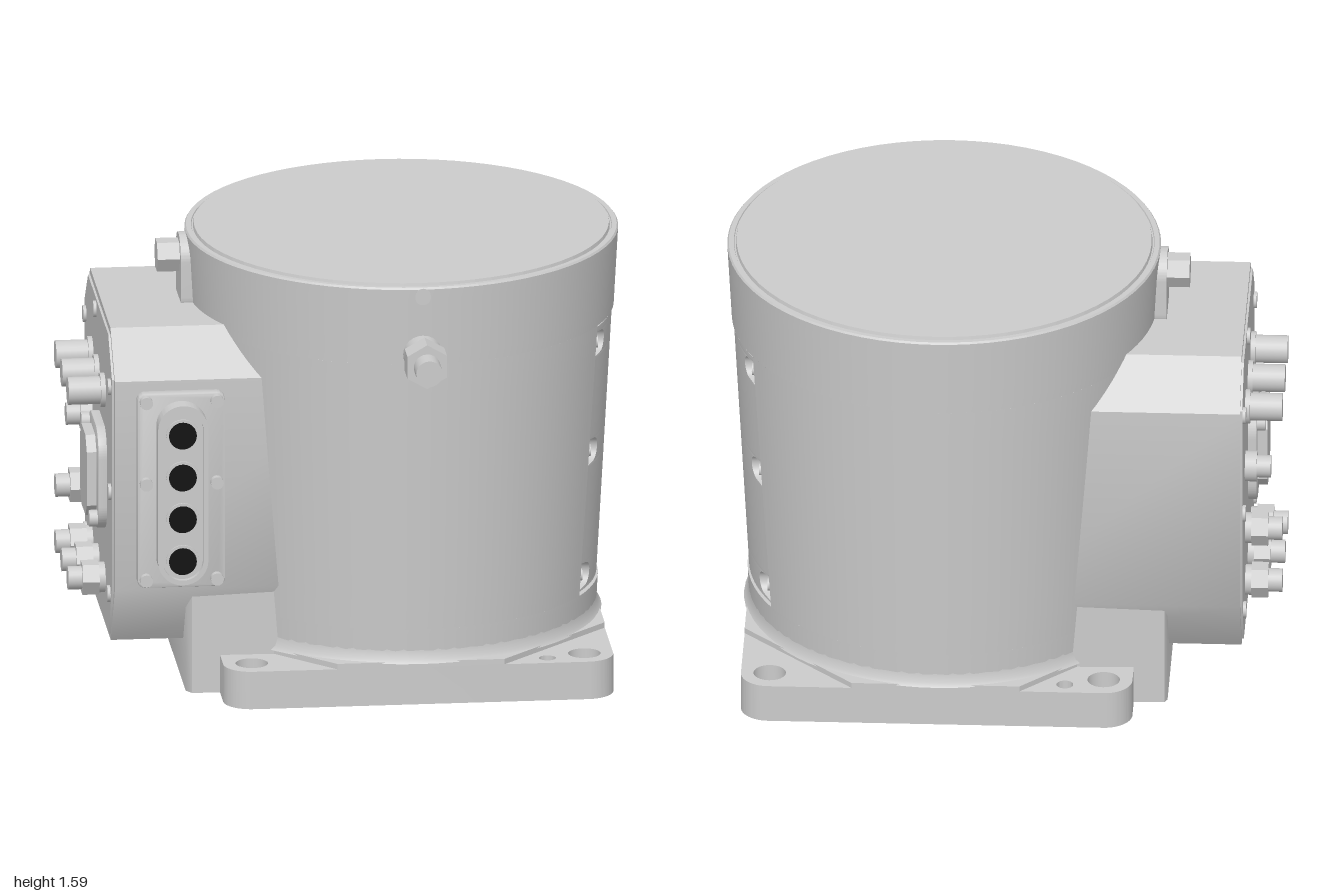
import * as THREE from 'three';
import { toCreasedNormals } from 'three/addons/utils/BufferGeometryUtils.js';

const CX = 0.22, CZ = -0.115;            // axis of the tapered housing
const R = y => 0.695 + 0.056 * (y - 0.15);

const smooth = new THREE.MeshStandardMaterial({ color: 0xcccccc });
const faceted = new THREE.MeshStandardMaterial({ color: 0xcccccc, flatShading: true });
const sheet = new THREE.MeshStandardMaterial({ color: 0xcccccc, side: THREE.DoubleSide });
const black = new THREE.MeshStandardMaterial({ color: 0x111111 });

export function createModel() {
  const model = new THREE.Group();

  function add(name, geo, mat = smooth, pos = [0, 0, 0], parent = model) {
    const m = new THREE.Mesh(geo, mat);
    m.name = name;
    m.position.set(...pos);
    parent.add(m);
    return m;
  }

  function group(name) {
    const g = new THREE.Group();
    g.name = name;
    model.add(g);
    return g;
  }

  // Surface through fn(u, v) -> [x, y, z]
  function grid(name, fn, nu, nv, parent = model) {
    const pos = [], idx = [];
    for (let j = 0; j <= nv; j++) for (let i = 0; i <= nu; i++) pos.push(...fn(i / nu, j / nv));
    for (let j = 0; j < nv; j++) for (let i = 0; i < nu; i++) {
      const a = j * (nu + 1) + i, b = a + nu + 1;
      idx.push(a, b, a + 1, a + 1, b, b + 1);
    }
    const g = new THREE.BufferGeometry();
    g.setAttribute('position', new THREE.Float32BufferAttribute(pos, 3));
    g.setIndex(idx);
    g.computeVertexNormals();
    return add(name, g, sheet, [0, 0, 0], parent);
  }

  // Extrusion along 'y' (shape y = -z), '-x' (shape x = z) or 'z'
  function extrude(name, shape, depth, dir, pos, parent, bevel = 0) {
    const g = new THREE.ExtrudeGeometry(shape, {
      depth: depth - bevel, curveSegments: 16, bevelEnabled: bevel > 0,
      bevelThickness: bevel, bevelSize: bevel, bevelOffset: -bevel, bevelSegments: 2
    });
    if (dir === 'y') g.rotateX(-Math.PI / 2);
    if (dir === '-x') g.rotateY(-Math.PI / 2);
    return add(name, toCreasedNormals(g, 0.6), smooth, pos, parent);
  }

  // Cylinder running from pos along 'y', '-x', 'x' or 'z'
  function rod(name, r, len, dir, pos, parent, seg = 24, mat) {
    const g = new THREE.CylinderGeometry(r, r, len, seg).translate(0, len / 2, 0);
    if (dir === 'z') g.rotateX(Math.PI / 2);
    if (dir === '-x') g.rotateZ(Math.PI / 2);
    if (dir === 'x') g.rotateZ(-Math.PI / 2);
    return add(name, g, mat || (seg <= 8 ? faceted : smooth), pos, parent);
  }

  const poly = pts => new THREE.Shape(pts.map(p => new THREE.Vector2(...p)));

  function roundRect(w, h, r, Type = THREE.Shape) {
    const s = new Type(), x = w / 2, y = h / 2, q = Math.PI / 2;
    s.absarc(x - r, y - r, r, 0, q);
    s.absarc(-x + r, y - r, r, q, 2 * q);
    s.absarc(-x + r, -y + r, r, 2 * q, 3 * q);
    s.absarc(x - r, -y + r, r, 3 * q, 4 * q);
    s.closePath();
    return s;
  }

  // Base plate with mounting holes, and the raised step between the corner pads
  const plate = roundRect(1.4, 1.4, 0.1);
  const hole = (x, y, r) => plate.holes.push(new THREE.Path().absarc(x, y, r, 0, Math.PI * 2));
  for (const sx of [-1, 1]) for (const sy of [-1, 1]) hole(sx * 0.597, sy * 0.597, 0.058);
  hole(-0.46, 0.64, 0.03);
  hole(0.46, -0.64, 0.03);
  extrude('basePlate', plate, 0.14, 'y', [CX, 0, CZ]);
  const e = 0.7, c = 0.3;
  extrude('baseStep', poly([[e, -c], [e, c], [c, e], [-c, e], [-e, c], [-e, -c], [-c, -e], [c, -e]]),
    0.02, 'y', [CX, 0.14, CZ]);
  add('baseFillet', new THREE.LatheGeometry([[0.715, 0.155], [0.704, 0.17], [0.698, 0.2], [0.697, 0.22]]
    .map(p => new THREE.Vector2(...p)), 72), sheet, [CX, 0, CZ]);

  // Tapered housing, left open where the side cover sits
  const P0 = 0.28, P1 = 1.29, HW = 0.36;
  const mix = THREE.MathUtils.lerp;
  const onCone = (t, y) => [CX + R(y) * Math.cos(t), y, CZ + R(y) * Math.sin(t)];
  const housing = group('housing');
  const band = (name, y0, y1, open) => grid(name, (u, v) => {
    const y = mix(y0, y1, v), a = open ? Math.asin(HW / R(y)) : 0;
    return onCone(mix(a, Math.PI * 2 - a, u), y);
  }, 96, 8, housing);
  band('lowerWall', 0.14, P0, false);
  band('middleWall', P0, P1, true);
  band('upperWall', P1, 1.575, false);
  add('topRim', new THREE.LatheGeometry([[0.775, 1.575], [0.77, 1.582], [0.752, 1.582], [0.75, 1.577],
    [0.745, 1.577], [0.742, 1.59], [0, 1.59]].map(p => new THREE.Vector2(...p)), 72)
    .toNonIndexed(), sheet, [CX, 0, CZ], housing).geometry.computeVertexNormals();

  // Flat seat cut into the housing
  const seatX = y => CX + Math.sqrt(R(y) ** 2 - HW ** 2);
  grid('coverSeat', (u, v) => {
    const y = mix(P0, P1, v);
    return [seatX(y), y, CZ + HW * (2 * u - 1)];
  }, 2, 8, housing);
  for (const y of [P0, P1]) grid('seatLedge', (u, v) => {
    const z = HW * (2 * u - 1);
    return [mix(seatX(y), CX + Math.sqrt(R(y) ** 2 - z * z), v), y, CZ + z];
  }, 24, 1, housing);

  // Curved cover with scalloped screw pockets along both edges
  const screwY = [0.345, 0.81, 1.215], pr = 0.045, C0 = 0.291, C1 = 1.28;
  const halfWidth = y => {
    const s = screwY.find(q => Math.abs(q - y) < pr);
    return s === undefined ? 0.346 : 0.31 - Math.sqrt(pr * pr - (y - s) ** 2);
  };
  const coverX = (y, z) => CX + Math.sqrt((R(y) - 0.006) ** 2 - z * z);
  const cover = group('sideCover');
  grid('coverFace', (u, v) => {
    const y = mix(C0, C1, v), z = halfWidth(y) * (2 * u - 1);
    return [coverX(y, z), y, CZ + z];
  }, 24, 160, cover);
  for (const s of [-1, 1]) {
    grid('coverEdge', (u, v) => {
      const y = mix(C0, C1, v), z = s * halfWidth(y);
      return [mix(seatX(y), coverX(y, z), u), y, CZ + z];
    }, 1, 160, cover);
    for (const y of screwY) rod('coverScrew', 0.022, 0.012, 'x', [seatX(y) - 0.002, y, CZ + s * 0.31], cover, 16);
  }
  for (const y of [C0, C1]) grid('coverEnd', (u, v) => {
    const z = halfWidth(y) * (2 * u - 1);
    return [mix(seatX(y), coverX(y, z), v), y, CZ + z];
  }, 24, 1, cover);

  // Connection box on the side, its face plate and its foot
  const box = group('connectionBox');
  const outline = (i, low) => poly([[-0.48, low + i], [0.25, low + i], [0.395 - i, 0.4], [0.395 - i, 1.18],
    [0.24, 1.335 - i], [-0.48, 1.335 - i], [-0.63 + i, 1.18], [-0.63 + i, 0.4]]);
  extrude('boxBody', outline(0, 0.17), 0.86, '-x', [0, 0, 0], box);
  extrude('boxFacePlate', outline(0.025, 0.17), 0.01, '-x', [-0.858, 0, 0], box);
  extrude('boxFoot', poly([[-0.2, 0.62], [-0.59, 0.61], [-0.6, 0.59], [-0.6, -0.34], [-0.58, -0.37], [-0.2, -0.38]].reverse()),
    0.4, 'y', [0, 0, 0], box);
  for (const [z, y] of [[-0.56, 1.14], [-0.2, 1.27], [0.32, 1.14], [-0.57, 0.75], [0.33, 0.75], [-0.53, 0.34], [0.3, 0.36]])
    rod('faceScrew', 0.03, 0.016, '-x', [-0.863, y, z], box, 16);

  // Fittings on the box face
  const fittings = group('fittings');
  for (const z of [-0.34, -0.12, 0.1]) {
    rod('socketCollar', 0.062, 0.025, '-x', [-0.86, 1.06, z], fittings);
    rod('socketBarrel', 0.05, 0.135, '-x', [-0.865, 1.06, z], fittings);
  }
  for (const [z, y] of [[-0.34, 0.57], [-0.34, 0.36], [-0.12, 0.36], [0.1, 0.36]]) {
    rod('fittingCollar', 0.055, 0.03, '-x', [-0.86, y, z], fittings);
    rod('fittingNut', 0.064, 0.06, '-x', [-0.89, y, z], fittings, 6);
    rod('fittingTip', 0.042, 0.05, '-x', [-0.95, y, z], fittings);
  }
  rod('smallFittingBase', 0.055, 0.045, '-x', [-0.865, 0.83, -0.36], fittings);
  rod('smallFittingTip', 0.04, 0.05, '-x', [-0.91, 0.83, -0.36], fittings);

  // Access hatch in the middle of the box face
  const hatch = group('accessHatch');
  extrude('hatchFlange', roundRect(0.36, 0.38, 0.1), 0.035, '-x', [-0.865, 0.74, 0.02], hatch, 0.005);
  extrude('hatchLid', poly([[-0.07, -0.15], [0.07, -0.15], [0.12, -0.1], [0.12, 0.1], [0.07, 0.15], [-0.07, 0.15],
    [-0.12, 0.1], [-0.12, -0.1]]), 0.035, '-x', [-0.9, 0.74, 0.02], hatch);
  for (const s of [-1, 1]) rod('hatchScrew', 0.03, 0.03, '-x', [-0.9, 0.74 + s * 0.14, 0.02 - s * 0.14], hatch, 16);

  // Four-pole socket block on the front of the box
  const block = group('socketBlock');
  const bx = -0.625, by = 0.78;
  extrude('blockFlange', roundRect(0.315, 0.725, 0.03), 0.045, 'z', [bx, by, 0.39], block, 0.006);
  const rim = roundRect(0.18, 0.67, 0.089);
  rim.holes.push(roundRect(0.145, 0.635, 0.072, THREE.Path));
  extrude('blockRim', rim, 0.07, 'z', [bx, by, 0.43], block);
  extrude('blockInsert', roundRect(0.146, 0.636, 0.072), 0.05, 'z', [bx, by, 0.43], block);
  for (const y of [0.53, 0.687, 0.843, 1.0]) {
    rod('contactRing', 0.06, 0.057, 'z', [bx, y, 0.43], block);
    rod('contactHole', 0.05, 0.06, 'z', [bx, y, 0.43], block, 24, black);
  }
  for (const s of [-1, 1]) for (const y of [0.45, 0.81, 1.115])
    rod('blockScrew', 0.023, 0.03, 'z', [bx + s * 0.127, y, 0.43], block, 16);

  // Plug on the front of the housing, with a small tab near the rim
  const plug = group('frontPlug');
  rod('plugNeck', 0.07, 0.1, 'z', [CX, 1.33, 0.62], plug);
  rod('plugNut', 0.082, 0.095, 'z', [CX, 1.33, 0.71], plug, 6);
  rod('plugTip', 0.048, 0.09, 'z', [CX, 1.33, 0.8], plug);
  extrude('rimTab', roundRect(0.055, 0.06, 0.026), 0.03, 'z', [CX, 1.548, 0.632], plug);

  // Hex bolt on a boss above the box
  const bolt = group('upperBolt');
  extrude('boltBoss', roundRect(0.18, 0.3, 0.085), 0.08, '-x', [-0.5, 1.42, -0.12], bolt);
  rod('boltHead', 0.062, 0.085, '-x', [-0.575, 1.49, -0.12], bolt, 6);

  return model;
}
